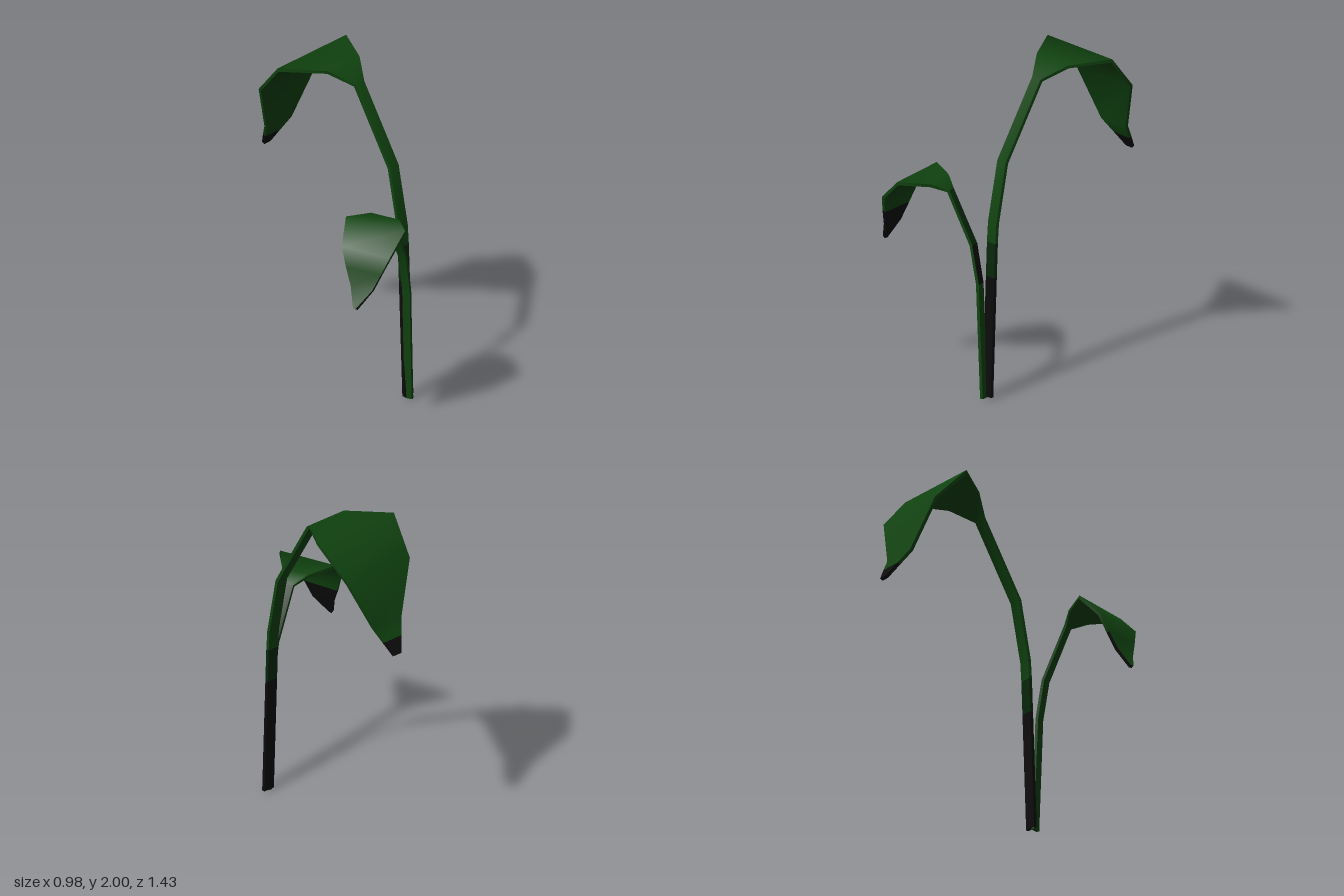
import * as THREE from 'three';

const materials = [
  ['leafGreen', 0x104210],
  ['shadedGreen', 0x08260b],
  ['witheredBlack', 0x0d0b0b],
].map(([name, color]) => {
  const m = new THREE.MeshStandardMaterial({ color });
  m.name = name;
  return m;
});
const G = 0, M = 1, D = 2;
const HALF = 0.01; // half the leaf thickness

// Thin folded ribbon through rows of [left edge, right edge, upper colour, under colour]
function ribbon(name, rows) {
  const L = rows.map(r => new THREE.Vector3(...r[0]));
  const R = rows.map(r => new THREE.Vector3(...r[1]));
  const mid = L.map((l, i) => l.clone().add(R[i]).multiplyScalar(0.5));
  const last = rows.length - 1;

  // Four corners per section: left top, right top, right under, left under
  const rings = rows.map((_, i) => {
    const dir = (a, b) => mid[b].clone().sub(mid[a]).normalize();
    const t = dir(Math.max(i - 1, 0), Math.max(i, 1)).add(dir(Math.min(i, last - 1), Math.min(i + 1, last)));
    const n = R[i].clone().sub(L[i]).cross(t).normalize().multiplyScalar(HALF);
    return [L[i].clone().add(n), R[i].clone().add(n), R[i].clone().sub(n), L[i].clone().sub(n)];
  });

  const pos = [], index = [], geo = new THREE.BufferGeometry();
  const quad = (a, b, c, d, material) => {
    geo.addGroup(index.length, 6, material);
    index.push(a, b, c, a, c, d);
  };

  // Upper face, right edge, under face and left edge, smooth along their length
  for (let k = 0; k < 4; k++) {
    const base = pos.length / 3;
    rings.forEach(r => pos.push(...r[k].toArray(), ...r[(k + 1) % 4].toArray()));
    for (let i = 0; i < last; i++) {
      const a = base + i * 2;
      quad(a, a + 1, a + 3, a + 2, rows[i][k === 0 ? 2 : 3]);
    }
  }

  // End caps
  for (const [ring, material] of [[[...rings[0]].reverse(), rows[0][3]], [rings[last], rows[last - 1][3]]]) {
    const base = pos.length / 3;
    ring.forEach(p => pos.push(...p.toArray()));
    quad(base, base + 1, base + 2, base + 3, material);
  }

  geo.setAttribute('position', new THREE.Float32BufferAttribute(pos, 3));
  geo.setIndex(index);
  geo.computeVertexNormals();
  const mesh = new THREE.Mesh(geo, materials);
  mesh.name = name;
  return mesh;
}

// Section of the tall leaf: left x, right x, height, depth, colours
const across = (x0, x1, y, z, top, under = top) => [[x0, y, z], [x1, y, z], top, under];

export function createModel() {
  const group = new THREE.Group();
  group.name = 'droopingLeaves';

  // Tall leaf arching backward
  group.add(ribbon('tallLeaf', [
    across(0.175, 0.25, 0.01, 0.375, D),
    across(0.175, 0.25, 0.74, 0.348, M),
    across(0.175, 0.25, 0.95, 0.34, G),
    across(0.175, 0.25, 1.07, 0.332, G),
    across(0.175, 0.25, 1.43, 0.262, G),
    across(0.175, 0.25, 1.88, 0.0, G),
    across(0.07, 0.35, 1.965, -0.12, G),
    [[-0.11, 1.975, -0.345], [0.487, 1.99, -0.335], G, G],
    across(-0.058, 0.433, 1.775, -0.53, G),
    across(0.08, 0.3, 1.47, -0.605, G),
    across(0.13, 0.265, 1.385, -0.66, D),
    across(0.178, 0.232, 1.305, -0.71, D),
  ]));

  // Short leaf arching to the right and slightly forward
  group.add(ribbon('shortLeaf', [
    [[0.205, 0, 0.417], [0.195, 0, 0.37], G, G],
    [[0.178, 0.7, 0.425], [0.165, 0.7, 0.378], D, G],
    [[0.132, 0.93, 0.435], [0.12, 0.93, 0.387], M, G],
    [[-0.028, 1.23, 0.473], [-0.042, 1.23, 0.427], G, G],
    [[-0.08, 1.27, 0.562], [-0.13, 1.28, 0.388], G, G],
    [[-0.2, 1.285, 0.713], [-0.29, 1.298, 0.337], G, G],
    [[-0.332, 1.16, 0.713], [-0.398, 1.17, 0.402], G, G],
    [[-0.367, 1.06, 0.677], [-0.417, 1.06, 0.452], G, D],
    [[-0.4, 0.96, 0.64], [-0.433, 0.96, 0.502], G, D],
    [[-0.48, 0.85, 0.583], [-0.48, 0.85, 0.562], G, D],
  ]));

  return group;
}
